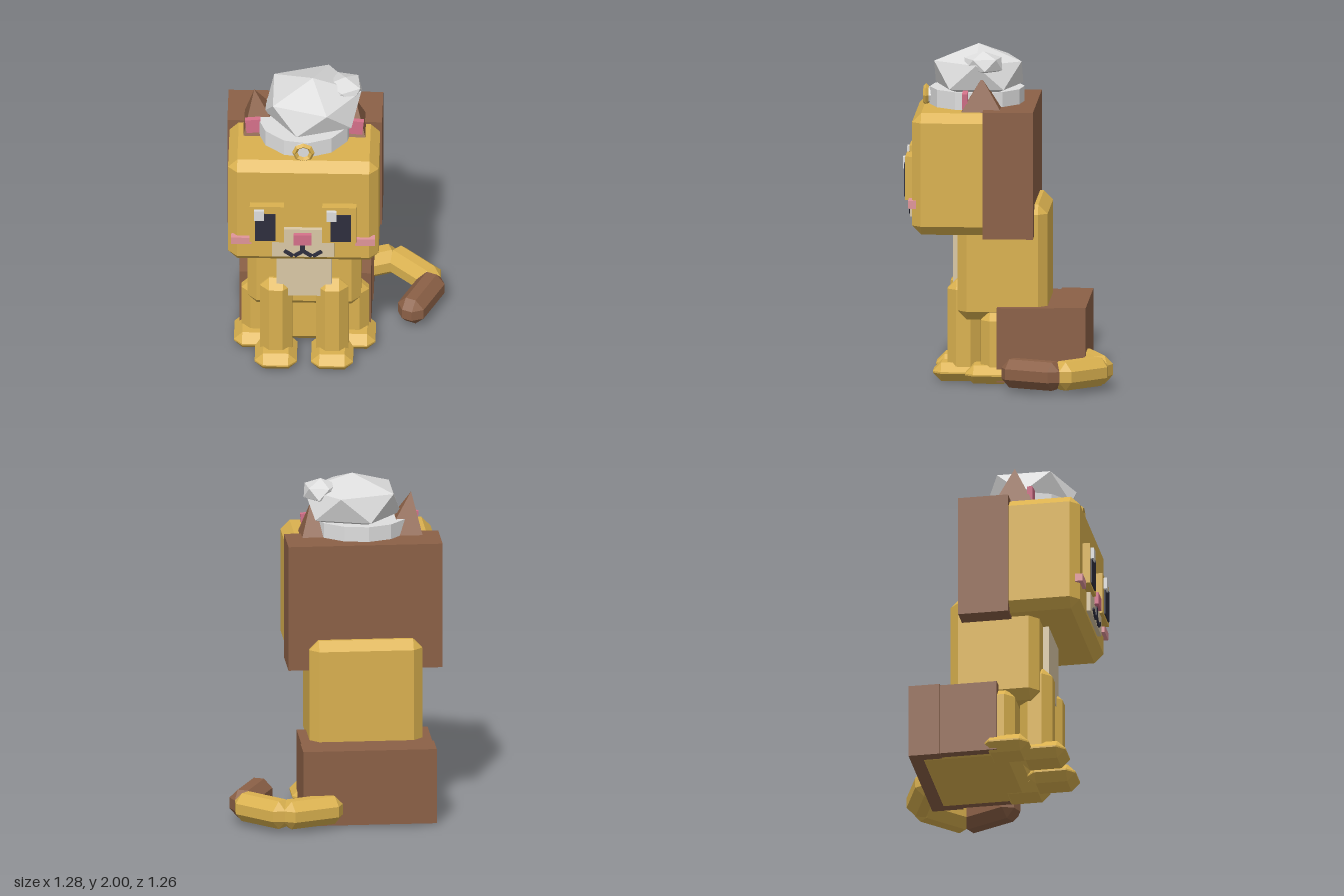
import * as THREE from 'three';
import { ConvexGeometry } from 'three/addons/geometries/ConvexGeometry.js';

const mat = (name, color, flat = false) => {
  const m = new THREE.MeshStandardMaterial({ color, flatShading: flat });
  m.name = name;
  return m;
};

export function createModel() {
  const model = new THREE.Group();
  const gold = mat('gold fur', 0xdab14f), brown = mat('brown fur', 0x8b6046);
  const cream = mat('cream fur', 0xdac8a6), dark = mat('dark', 0x2e2e3d);
  const grey = mat('light grey', 0xdedede, true), pink = mat('pink', 0xd5718a);
  const blush = mat('blush', 0xe0959a);
  const CX = -0.18; // the cat's own centre line

  const add = (name, geo, material) => {
    const mesh = new THREE.Mesh(geo, material);
    mesh.name = name;
    model.add(mesh);
    return mesh;
  };
  // plain box from its limits
  const box = (name, material, x0, x1, y0, y1, z0, z1) => {
    const m = add(name, new THREE.BoxGeometry(x1 - x0, y1 - y0, z1 - z0), material);
    m.position.set((x0 + x1) / 2, (y0 + y1) / 2, (z0 + z1) / 2);
    return m;
  };
  // box with all edges and corners cut at 45 degrees
  const chamferGeo = (w, h, d, b) => {
    const pts = [];
    for (const x of [-1, 1]) for (const y of [-1, 1]) for (const z of [-1, 1])
      for (let k = 0; k < 3; k++)
        pts.push(new THREE.Vector3(
          x * (w / 2 - (k === 0 ? 0 : b)), y * (h / 2 - (k === 1 ? 0 : b)), z * (d / 2 - (k === 2 ? 0 : b))));
    return new ConvexGeometry(pts);
  };
  const chamfer = (name, material, x0, x1, y0, y1, z0, z1, b = 0.055) => {
    const m = add(name, chamferGeo(x1 - x0, y1 - y0, z1 - z0, b), material);
    m.position.set((x0 + x1) / 2, (y0 + y1) / 2, (z0 + z1) / 2);
    return m;
  };

  // head and body
  chamfer('head', gold, -0.627, 0.267, 0.9, 1.63, -0.1, 0.565);
  box('headBackPatch', brown, -0.64, 0.278, 0.885, 1.645, -0.157, 0.143);
  chamfer('body', gold, -0.517, 0.155, 0.375, 1.07, -0.235, 0.3);
  box('chestPatch', cream, -0.343, -0.016, 0.495, 0.96, 0.2, 0.335);

  // hindquarters
  chamfer('haunches', gold, -0.557, 0.2, 0.008, 0.435, -0.44, 0.16);
  box('rumpPatch', brown, -0.57, 0.21, 0.017, 0.462, -0.4, 0.062);
  box('rumpBackPatch', brown, -0.578, 0.217, 0.012, 0.468, -0.468, -0.28);

  // legs, feet and paired face parts
  for (const s of [-1, 1]) {
    const span = (c, half) => [CX + s * c - half, CX + s * c + half];
    chamfer('frontLeg', gold, ...span(0.167, 0.096), 0.03, 0.605, 0.17, 0.365);
    chamfer('frontFoot', gold, ...span(0.167, 0.125), 0, 0.11, 0.16, 0.45, 0.05);
    chamfer('backFoot', gold, ...span(0.295, 0.125), 0.005, 0.115, -0.03, 0.25, 0.05);
    box('eyeFrame', gold, ...span(0.215, 0.101), 1.095, 1.355, 0.55, 0.61);
    box('eye', dark, ...span(0.224, 0.061), 1.11, 1.305, 0.58, 0.619);
    const hx = s < 0 ? -0.47 : -0.04;
    box('eyeHighlight', grey, hx, hx + 0.06, 1.265, 1.335, 0.59, 0.63);
    box('cheek', blush, ...span(0.367, 0.06), 1.06, 1.107, 0.54, 0.587);

    // ear: four-sided pyramid leaning outwards
    const v = (x, y, z) => new THREE.Vector3(CX + s * x, y, z);
    add('ear', new ConvexGeometry([
      v(0.365, 1.62, 0.28), v(0.365, 1.62, 0.03), v(0.13, 1.62, 0.03), v(0.13, 1.62, 0.28),
      v(0.3, s < 0 ? 1.885 : 1.83, 0.155)]), brown);
    const inner = box('innerEar', pink, ...span(0.302, 0.046), 1.65, 1.743, 0.238, 0.27);
    inner.rotation.z = s * -0.1;

    // mouth curl
    for (const [x, y, len, a] of [[0.026, 1.003, 0.062, -0.62], [0.085, 1.003, 0.062, 0.62]]) {
      const m = box('mouthCurl', dark, -len / 2, len / 2, -0.011, 0.011, 0.575, 0.6);
      m.position.x = CX + s * x;
      m.position.y = y;
      m.rotation.z = s * a;
    }
  }

  // muzzle
  box('muzzle', cream, -0.365, 0.005, 0.975, 1.175, 0.54, 0.59);
  box('nose', pink, -0.235, -0.13, 1.077, 1.152, 0.56, 0.615);
  box('mouthLine', dark, -0.197, -0.167, 1.01, 1.08, 0.57, 0.6);

  // tail: three chamfered segments curling round the model's left
  [[0.175, -0.505, 0.36, gold], [0.452, -0.447, -0.777, gold], [0.503, -0.171, -2.0, brown]]
    .forEach(([x, z, turn, material], i) => {
      const seg = add(i < 2 ? 'tailSegment' : 'tailTip', chamferGeo(0.39, 0.17, 0.17, 0.053), material);
      seg.position.set(x, 0.112, z);
      seg.rotation.y = turn;
    });

  // cap: faceted band, puffy crown and small tuft
  const band = add('capBand', new THREE.CylinderGeometry(0.282, 0.282, 0.12, 12), grey);
  band.position.set(CX, 1.675, 0.2);
  band.rotation.y = 0.1;
  // flattened icosahedron standing on a point
  const puff = (name, x, y, z, rx, ry, rz, turn) => {
    const pts = [new THREE.Vector3(0, ry, 0), new THREE.Vector3(0, -ry, 0)];
    for (let i = 0; i < 10; i++) {
      const a = i * Math.PI / 5 + turn;
      pts.push(new THREE.Vector3(
        0.894 * rx * Math.cos(a), (i % 2 ? -0.447 : 0.447) * ry, 0.894 * rz * Math.sin(a)));
    }
    add(name, new ConvexGeometry(pts), grey).position.set(x, y, z);
  };
  puff('capCrown', -0.132, 1.83, 0.188, 0.322, 0.17, 0.306, 0);
  puff('capTuft', 0.06, 1.905, 0.15, 0.115, 0.077, 0.13, 0.5);

  // round badge on the band
  const ring = add('badgeRing', new THREE.TorusGeometry(0.051, 0.016, 4, 8), gold);
  ring.geometry = ring.geometry.toNonIndexed();
  ring.geometry.computeVertexNormals();
  ring.position.set(CX, 1.683, 0.503);
  const disc = add('badgeCentre', new THREE.CylinderGeometry(0.05, 0.05, 0.03, 8), grey);
  disc.rotation.x = Math.PI / 2;
  disc.position.set(CX, 1.683, 0.488);

  return model;
}
